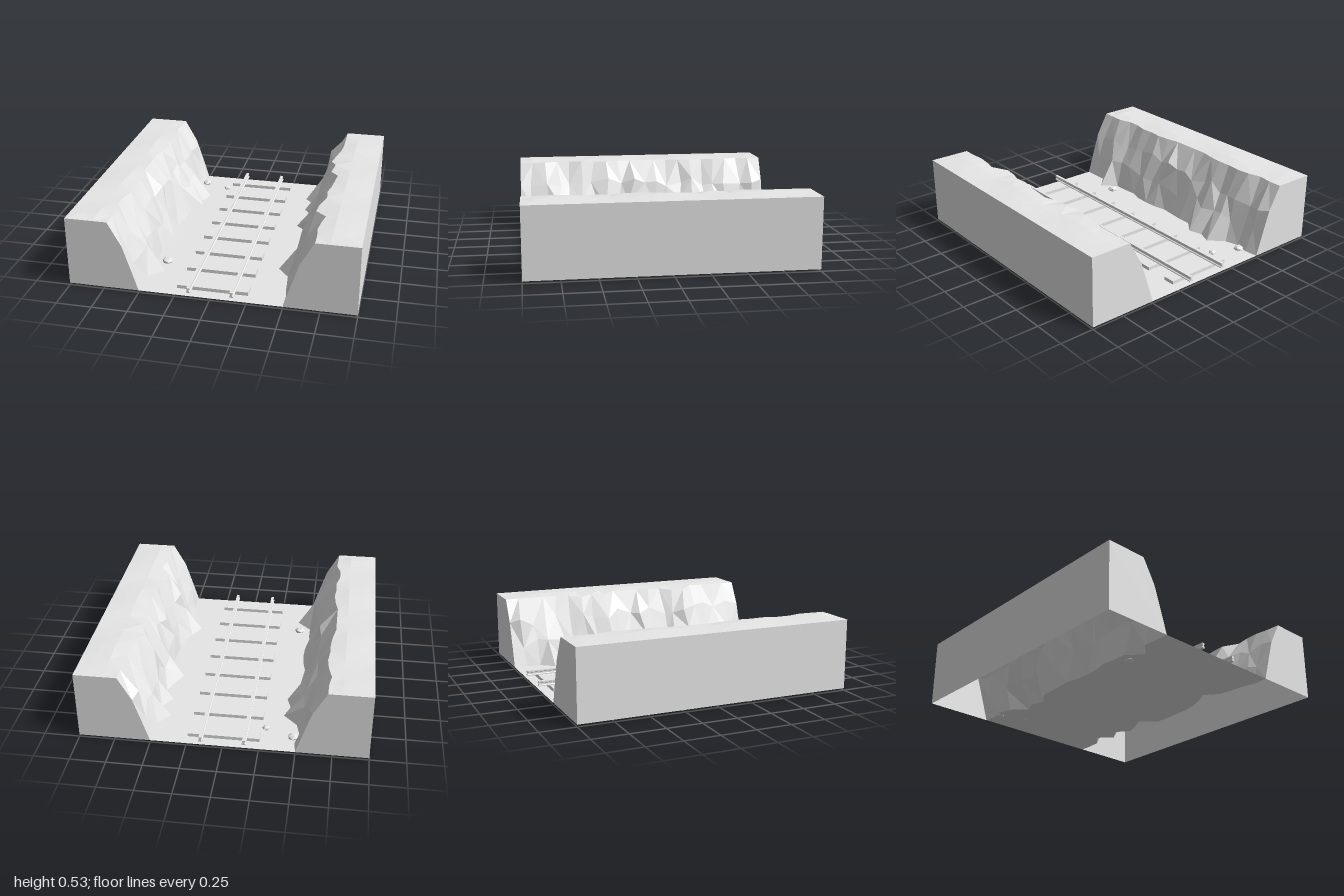
import * as THREE from 'three';

const stone = new THREE.MeshStandardMaterial({ color: 0xe7e7e7 });
stone.name = 'paleGrey';
stone.flatShading = true;
stone.side = THREE.DoubleSide;

const BASE = 0.02, TOP = 0.52, ROWS = 21;

// Distance of the cliff foot and brow from the centre line, back to front
const cliffs = {
  right: {
    side: -1,
    foot: [.5, .49, .515, .49, .39, .43, .40, .48, .48, .49, .5, .48, .475, .48, .51, .5, .5, .40, .5, .5, .5],
    brow: [.7, .7, .715, .69, .68, .69, .69, .7, .72, .72, .72, .72, .7, .69, .7, .695, .72, .72, .69, .695, .7],
  },
  left: {
    side: 1,
    foot: [.5, .5, .49, .41, .5, .43, .5, .46, .41, .52, .52, .515, .51, .49, .45, .39, .47, .48, .49, .51, .5],
    brow: [.7, .7, .7, .7, .69, .67, .64, .68, .66, .72, .71, .7, .68, .69, .65, .64, .72, .7, .69, .7, .7],
  },
};

function seeded(seed) {
  return () => {
    seed = (seed * 16807) % 2147483647;
    return seed / 2147483647;
  };
}

// Skin a list of equal-length cross-sections with alternating diagonals
function loft(rows, flip) {
  const pos = [];
  const tri = (a, b, c) => pos.push(...a, ...(flip ? c : b), ...(flip ? b : c));
  for (let i = 0; i + 1 < rows.length; i++) {
    for (let j = 0; j + 1 < rows[i].length; j++) {
      const a = rows[i][j], b = rows[i + 1][j], c = rows[i + 1][j + 1], d = rows[i][j + 1];
      if ((i * 3 + j) % 2) { tri(a, b, c); tri(a, c, d); }
      else { tri(a, b, d); tri(b, c, d); }
    }
  }
  const g = new THREE.BufferGeometry();
  g.setAttribute('position', new THREE.Float32BufferAttribute(pos, 3));
  g.computeVertexNormals();
  return g;
}

function addMesh(parent, name, geometry, x = 0, y = 0, z = 0) {
  const m = new THREE.Mesh(geometry, stone);
  m.name = name;
  m.position.set(x, y, z);
  parent.add(m);
  return m;
}

const rowZ = (i) => -1 + (2 * i) / (ROWS - 1);

// Cross-sections of one bank, from the outer wall over the top to the foot
function bankRows({ side, foot, brow }) {
  const rnd = seeded(side > 0 ? 417 : 93);
  return foot.map((f, i) => {
    const end = i === 0 || i === ROWS - 1;
    const z = rowZ(i);
    const jit = (s) => (end ? 0 : (rnd() - 0.5) * s);
    const swell = end ? 0 : 0.006 + 0.006 * Math.sin(z * 9 + side);
    const b = brow[i];
    return [
      [1, BASE, z],
      [1, TOP, z],
      [0.9, TOP + swell * 0.6, z],
      [0.8, TOP + swell, z],
      [b, b < 0.67 ? TOP - 0.015 : TOP, z],
      [0.605 + (b - 0.7) * 0.5 + jit(0.06), 0.35 + jit(0.08), z + jit(0.06)],
      [0.55 + (f - 0.5) * 0.3 + jit(0.03), 0.18 + jit(0.08), z + jit(0.06)],
      [f, BASE, z],
    ].map(([x, y, zz]) => [x * side, y, zz]);
  });
}

export function createModel() {
  const model = new THREE.Group();
  model.name = 'railwayCutting';

  // Rocky banks, open underneath, with flat end walls
  for (const [name, cliff] of Object.entries(cliffs)) {
    const bank = new THREE.Group();
    bank.name = name + 'Bank';
    model.add(bank);
    const rows = bankRows(cliff);
    addMesh(bank, name + 'Cliff', loft(rows, cliff.side > 0), 0, 0, 0);
    const section = new THREE.Shape(rows[0].map(([x, y]) => new THREE.Vector2(x, y)));
    addMesh(bank, name + 'FrontEnd', new THREE.ShapeGeometry(section), 0, 0, 1);
    const back = new THREE.ShapeGeometry(section);
    back.scale(-1, 1, 1);
    addMesh(bank, name + 'BackEnd', back, 0, 0, -1).rotation.y = Math.PI;
  }

  // Track bed fitted between the cliff feet
  const floorRows = cliffs.left.foot.map((f, i) => [
    [-cliffs.right.foot[i], BASE, rowZ(i)],
    [f, BASE, rowZ(i)],
  ]);
  addMesh(model, 'trackBed', loft(floorRows, false));

  // Sleepers
  for (let i = 0; i < 8; i++) {
    addMesh(model, 'sleeper', new THREE.BoxGeometry(0.5, 0.025, 0.085), 0, 0.0325, -0.88 + i * 0.25);
  }

  // Rails with a foot, web and head
  const half = [[0.014, 0], [0.014, 0.006], [0.006, 0.011], [0.006, 0.021], [0.011, 0.025], [0.011, 0.036]];
  const outline = [...half, ...half.map(([x, y]) => [-x, y]).reverse()];
  const railShape = new THREE.Shape(outline.map(([x, y]) => new THREE.Vector2(x, y)));
  for (const s of [-1, 1]) {
    const rail = new THREE.ExtrudeGeometry(railShape, { depth: 2, bevelEnabled: false });
    addMesh(model, s > 0 ? 'leftRail' : 'rightRail', rail, 0.15 * s, 0.045, -1);
  }

  // Loose stones half sunk in the bed
  for (const [x, z, r] of [[-0.42, 0.565, 0.041], [-0.475, -0.845, 0.038], [-0.28, -0.77, 0.028]]) {
    const rock = addMesh(model, 'looseStone', new THREE.IcosahedronGeometry(r, 0), x, 0.028, z);
    rock.scale.y = 0.65;
    rock.rotation.y = x * 9;
  }
  return model;
}
